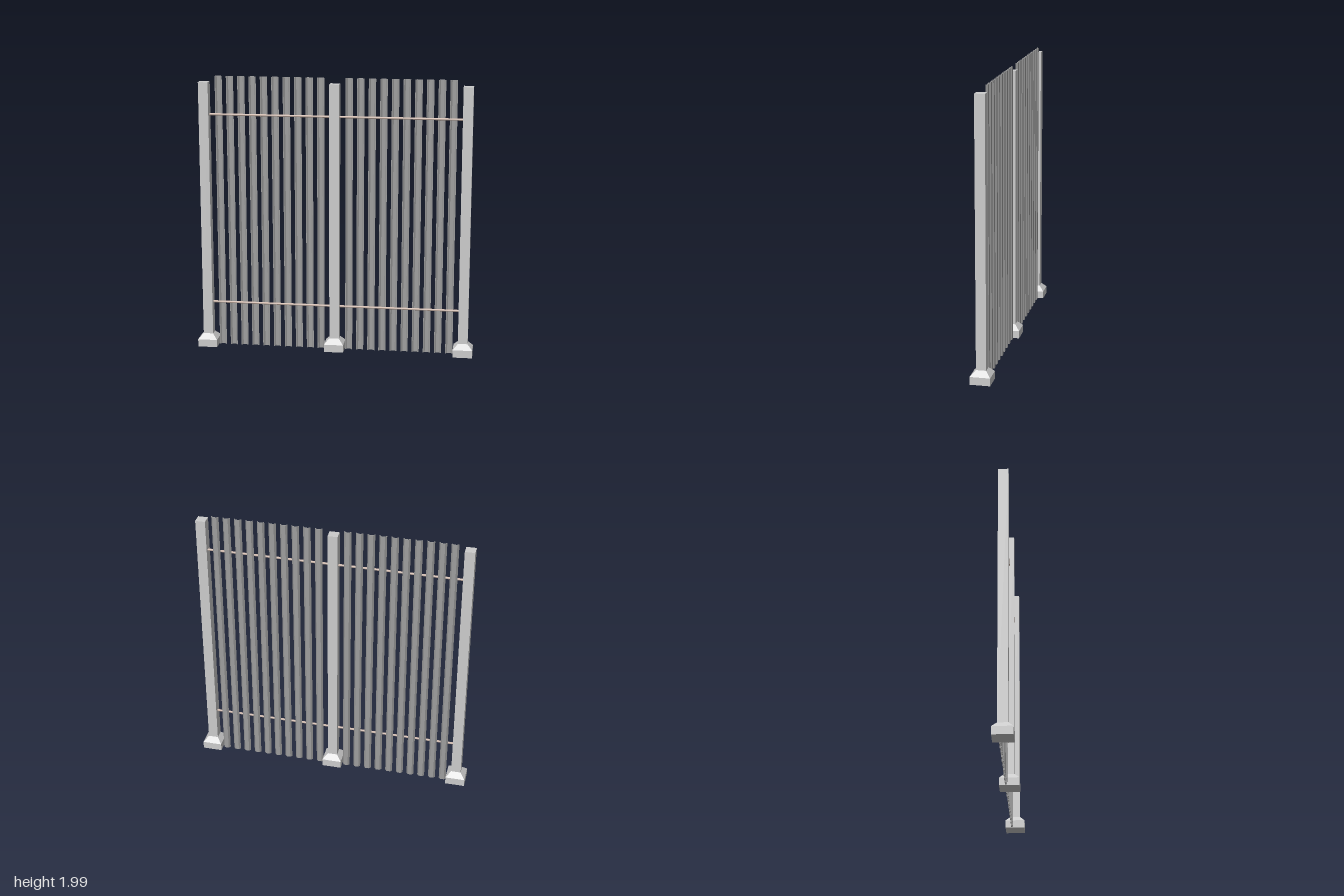
import * as THREE from 'three';

const postMaterial = new THREE.MeshStandardMaterial({ color: 0xcccccc, flatShading: true });
const slatMaterial = new THREE.MeshStandardMaterial({ color: 0x9e9e9e, flatShading: true });
const railMaterial = new THREE.MeshStandardMaterial({ color: 0xc8b2a6 });

function addMesh(parent, name, geometry, material, x = 0, y = 0, z = 0) {
  const mesh = new THREE.Mesh(geometry, material);
  mesh.name = name;
  mesh.position.set(x, y, z);
  parent.add(mesh);
  return mesh;
}

// Square post on a block footing with a tapered shoulder
function createPost(x) {
  const post = new THREE.Group();
  post.name = 'post';
  post.position.x = x;
  const shaftW = 0.07, footW = 0.14, footH = 0.055, shoulderTop = 0.093, top = 1.945;
  addMesh(post, 'postShaft', new THREE.BoxGeometry(shaftW, top - shoulderTop, shaftW),
    postMaterial, 0, (top + shoulderTop) / 2);
  addMesh(post, 'postFoot', new THREE.BoxGeometry(footW, footH, footW), postMaterial, 0, footH / 2);
  const taper = new THREE.CylinderGeometry(shaftW / Math.SQRT2, footW / Math.SQRT2,
    shoulderTop - footH, 4, 1, true);
  taper.rotateY(Math.PI / 4);
  addMesh(post, 'postShoulder', taper, postMaterial, 0, (footH + shoulderTop) / 2);
  return post;
}

// Thin sheet slat, bent along its edges and open toward the front
function createSlatGeometry() {
  const outer = [[-0.026, 0.013], [-0.014, 0.028], [0.014, 0.028], [0.026, 0.013]];
  const inner = [[0.022, 0.013], [0.012, 0.024], [-0.012, 0.024], [-0.022, 0.013]];
  const shape = new THREE.Shape([...outer, ...inner].map(([x, y]) => new THREE.Vector2(x, y)));
  const geometry = new THREE.ExtrudeGeometry(shape, { depth: 1.985, bevelEnabled: false });
  return geometry.rotateX(-Math.PI / 2);
}

// One bay: two round rails carrying ten slats
function createPanel(side, slatGeometry, railGeometry) {
  const panel = new THREE.Group();
  panel.name = side > 0 ? 'leftPanel' : 'rightPanel';
  for (const y of [0.328, 1.713]) {
    addMesh(panel, 'rail', railGeometry, railMaterial, side * 0.465, y, -0.005);
  }
  for (let i = 0; i < 10; i++) {
    addMesh(panel, 'slat', slatGeometry, slatMaterial, side * (0.101 + i * 0.0809));
  }
  return panel;
}

export function createModel() {
  const fence = new THREE.Group();
  fence.name = 'fence';

  for (const x of [-0.93, 0, 0.93]) fence.add(createPost(x));

  const slatGeometry = createSlatGeometry();
  const railGeometry = new THREE.CylinderGeometry(0.008, 0.008, 0.87, 12).rotateZ(Math.PI / 2);
  for (const side of [-1, 1]) fence.add(createPanel(side, slatGeometry, railGeometry));

  return fence;
}
